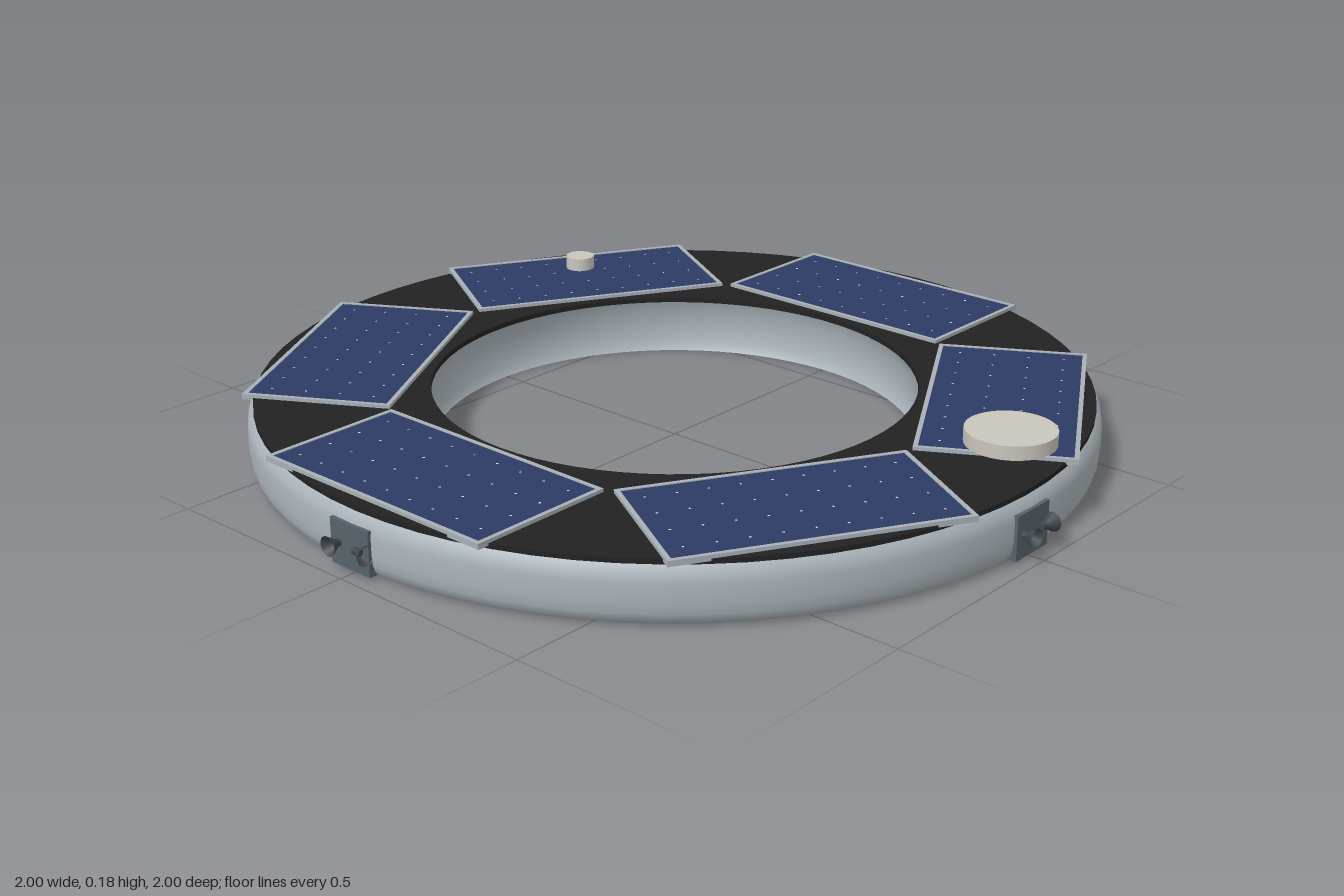
import * as THREE from 'three';
import { toCreasedNormals, mergeGeometries } from 'three/addons/utils/BufferGeometryUtils.js';

const material = (name, color) => {
  const m = new THREE.MeshStandardMaterial({ color });
  m.name = name;
  return m;
};

export function createModel() {
  const model = new THREE.Group();
  model.name = 'ringSatellite';

  const hull = material('hullGrey', 0xaab4ba);
  const deckBlack = material('deckBlack', 0x222222);
  const cellBlue = material('cellBlue', 0x2c3a64);
  const frameGrey = material('frameGrey', 0xa8b0b6);
  const pipWhite = material('pipWhite', 0xd4d8dc);
  const padBeige = material('antennaBeige', 0xc9c5bd);
  const podGrey = material('podGrey', 0x56636b);
  const nozzleGrey = material('nozzleGrey', 0x42484e);
  nozzleGrey.side = THREE.DoubleSide;

  const add = (parent, name, geometry, mat, x = 0, y = 0, z = 0) => {
    const mesh = new THREE.Mesh(geometry, mat);
    mesh.name = name;
    mesh.position.set(x, y, z);
    parent.add(mesh);
    return mesh;
  };
  const lathe = (points) => toCreasedNormals(
    new THREE.LatheGeometry(points.map(([x, y]) => new THREE.Vector2(x, y)), 72), 0.65);

  // Hollow ring body: rounded outside, slightly waisted inside
  add(model, 'ringBody', lathe([
    [0.556, 0], [0.925, 0], [0.945, 0.004], [0.957, 0.015], [0.963, 0.032],
    [0.965, 0.055], [0.965, 0.095], [0.961, 0.118], [0.95, 0.131],
    [0.556, 0.131], [0.568, 0.1], [0.568, 0.02], [0.556, 0],
  ]), hull);

  // Black deck on top
  add(model, 'deck', lathe([
    [0.555, 0.13], [0.95, 0.13], [0.95, 0.142], [0.555, 0.142], [0.555, 0.13],
  ]), deckBlack);

  // Six framed solar panels
  const W = 0.345, L = 0.64, B = 0.01;
  const pips = [];
  for (let i = 0; i < 4; i++) {
    for (let j = 0; j < 9; j++) {
      const pip = new THREE.CircleGeometry(0.0035, 4);
      pip.rotateX(-Math.PI / 2);
      pip.translate((i - 1.5) * 0.08, 0, (j - 4) * 0.068);
      pips.push(pip);
    }
  }
  const pipGeometry = mergeGeometries(pips);
  for (let k = 0; k < 6; k++) {
    const spoke = new THREE.Group();
    spoke.name = 'solarPanel';
    spoke.rotation.y = k * Math.PI / 3;
    model.add(spoke);
    const panel = new THREE.Group();
    panel.name = 'panelParts';
    panel.position.set(0.748, 0.142, 0);
    spoke.add(panel);
    add(panel, 'solarCells', new THREE.BoxGeometry(W - 2 * B, 0.008, L - 2 * B), cellBlue, 0, 0.002, 0);
    add(panel, 'cellPips', pipGeometry, pipWhite, 0, 0.0068, 0);
    for (const s of [-1, 1]) {
      add(panel, 'frameLongRail', new THREE.BoxGeometry(B, 0.013, L), frameGrey, s * (W - B) / 2, 0.0015, 0);
      add(panel, 'frameEndRail', new THREE.BoxGeometry(W - 2 * B, 0.013, B), frameGrey, 0, 0.0015, s * (L - B) / 2);
    }
  }

  // Round antenna pads on short stems
  const pad = (name, r, x, z) => {
    add(model, name, new THREE.CylinderGeometry(r, r, 0.032, 32), padBeige, x, 0.165, z);
    add(model, name + 'Stem', new THREE.CylinderGeometry(r * 0.4, r * 0.4, 0.02, 16), padBeige, x, 0.146, z);
  };
  pad('largeAntenna', 0.1, 0.17, 0.797);
  pad('smallAntenna', 0.036, 0.42, -0.706);

  // Four thruster pods, each with an outward and a sideways nozzle
  const bell = new THREE.CylinderGeometry(0.022, 0.007, 0.026, 20, 1, true);
  const throat = new THREE.CylinderGeometry(0.008, 0.008, 0.02, 12);
  for (let k = 0; k < 4; k++) {
    const pod = new THREE.Group();
    pod.name = 'thrusterPod';
    pod.rotation.y = k * Math.PI / 2;
    model.add(pod);
    add(pod, 'podPlate', new THREE.BoxGeometry(0.114, 0.1, 0.02), podGrey, -0.002, 0.058, 0.96);
    add(pod, 'outwardBell', bell, nozzleGrey, -0.034, 0.06, 0.987).rotation.x = Math.PI / 2;
    add(pod, 'outwardThroat', throat, nozzleGrey, -0.034, 0.06, 0.97).rotation.x = Math.PI / 2;
    add(pod, 'sideBell', bell, nozzleGrey, 0.044, 0.06, 0.978).rotation.z = -Math.PI / 2;
    add(pod, 'sideThroat', throat, nozzleGrey, 0.028, 0.06, 0.976).rotation.z = -Math.PI / 2;
  }

  return model;
}
